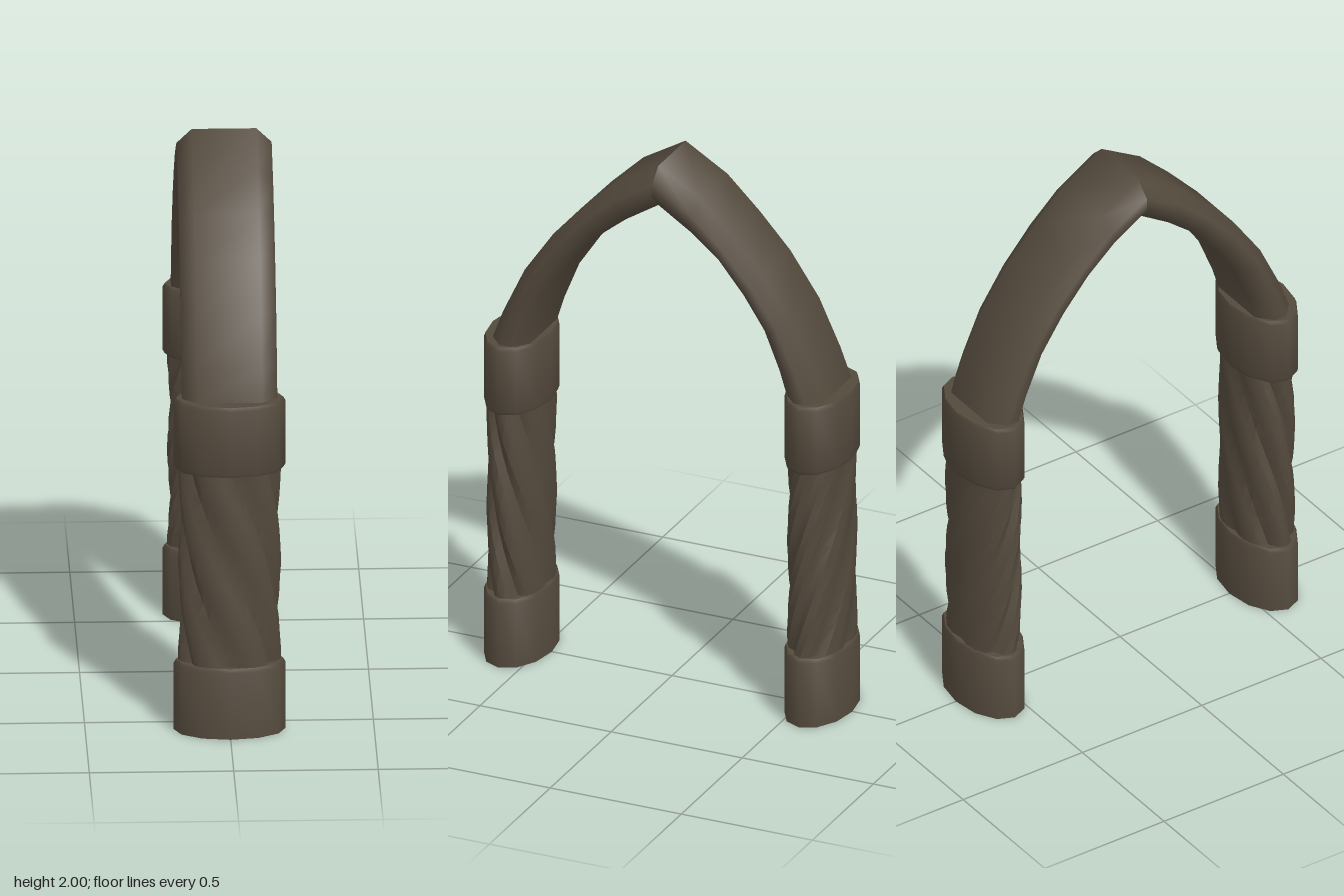
import * as THREE from 'three';
import { toCreasedNormals } from 'three/addons/utils/BufferGeometryUtils.js';

const RX = 0.194, RZ = 0.115, COLUMN_Z = 0.573;

// Skin a stack of closed rings, listed from bottom to top
function loft(rings, crease) {
  const n = rings[0].length, index = [];
  for (let j = 0; j < rings.length - 1; j++) {
    for (let i = 0; i < n; i++) {
      const a = j * n + i, b = j * n + (i + 1) % n;
      index.push(a, a + n, b, b, a + n, b + n);
    }
  }
  const geometry = new THREE.BufferGeometry();
  geometry.setAttribute('position', new THREE.Float32BufferAttribute(rings.flat(2), 3));
  geometry.setIndex(index);
  return toCreasedNormals(geometry, crease);
}

// Oval twelve-sided collar with small bevels
function collarGeometry(height, bevelBottom) {
  const profile = [[0, 0], [bevelBottom ? 0.96 : 1, 0]];
  if (bevelBottom) profile.push([1, 0.014]);
  profile.push([1, height - 0.014], [0.96, height], [0, height]);
  const lathe = new THREE.LatheGeometry(profile.map(([r, y]) => new THREE.Vector2(r, y)), 12);
  lathe.scale(RX, 1, RZ);
  lathe.deleteAttribute('uv');
  return toCreasedNormals(lathe, 0.95);
}

// Six rounded strands twisting around the oval shaft
function shaftGeometry(hand) {
  const bottom = 0.24, top = 0.98, levels = 12, sides = 24, rings = [];
  for (let j = 0; j <= levels; j++) {
    const y = bottom + (top - bottom) * j / levels;
    const turn = hand * (y - 0.965) / 0.35 * Math.PI / 3;
    const ring = [];
    for (let i = 0; i < sides; i++) {
      const a = i / sides * Math.PI * 2;
      const r = 0.79 + 0.13 * Math.pow(Math.abs(Math.cos(3 * a)), 0.7);
      ring.push([RX * r * Math.cos(a + turn), y, RZ * r * Math.sin(a + turn)]);
    }
    rings.push(ring);
  }
  return loft(rings, 0.6);
}

// Half of the pointed arch: octagonal section between outer and inner curves
function archGeometry() {
  const outer = [[0.65, 1.15], [0.632, 1.22], [0.59, 1.33], [0.51, 1.50], [0.40, 1.66], [0.28, 1.79], [0.16, 1.905], [0, 2]];
  const inner = [[0.50, 1.15], [0.49, 1.22], [0.462, 1.31], [0.405, 1.45], [0.325, 1.57], [0.23, 1.685], [0.125, 1.77], [0, 1.85]];
  const section = [[0.165, 0.35], [0.165, 0.66], [0.112, 1], [-0.112, 1], [-0.165, 0.66], [-0.165, 0.35], [-0.112, 0], [0.112, 0]];
  const rings = outer.map(([oz, oy], j) => {
    const [iz, iy] = inner[j];
    return section.map(([x, t]) => [x, iy + (oy - iy) * t, iz + (oz - iz) * t]);
  });
  return loft(rings, 1.05);
}

export function createModel() {
  const stone = new THREE.MeshStandardMaterial({ color: 0x544a3d });
  stone.name = 'dark brown stone';
  const model = new THREE.Group();
  model.name = 'pointedArch';

  const baseCollar = collarGeometry(0.258, false);
  const upperCollar = collarGeometry(0.258, true);
  const arch = archGeometry();

  // The back half faces away, its strands twisting the other way
  for (const [name, hand, rotation] of [['front', 1, 0], ['back', -1, Math.PI]]) {
    const half = new THREE.Group();
    half.name = name + 'Half';
    half.rotation.y = rotation;
    const add = (part, geometry, y, z) => {
      const mesh = new THREE.Mesh(geometry, stone);
      mesh.name = part;
      mesh.position.set(0, y, z);
      half.add(mesh);
    };
    add('baseCollar', baseCollar, 0, COLUMN_Z);
    add('twistedShaft', shaftGeometry(hand), 0, COLUMN_Z);
    add('upperCollar', upperCollar, 0.963, COLUMN_Z);
    add('archHalf', arch, 0, 0);
    model.add(half);
  }
  return model;
}
